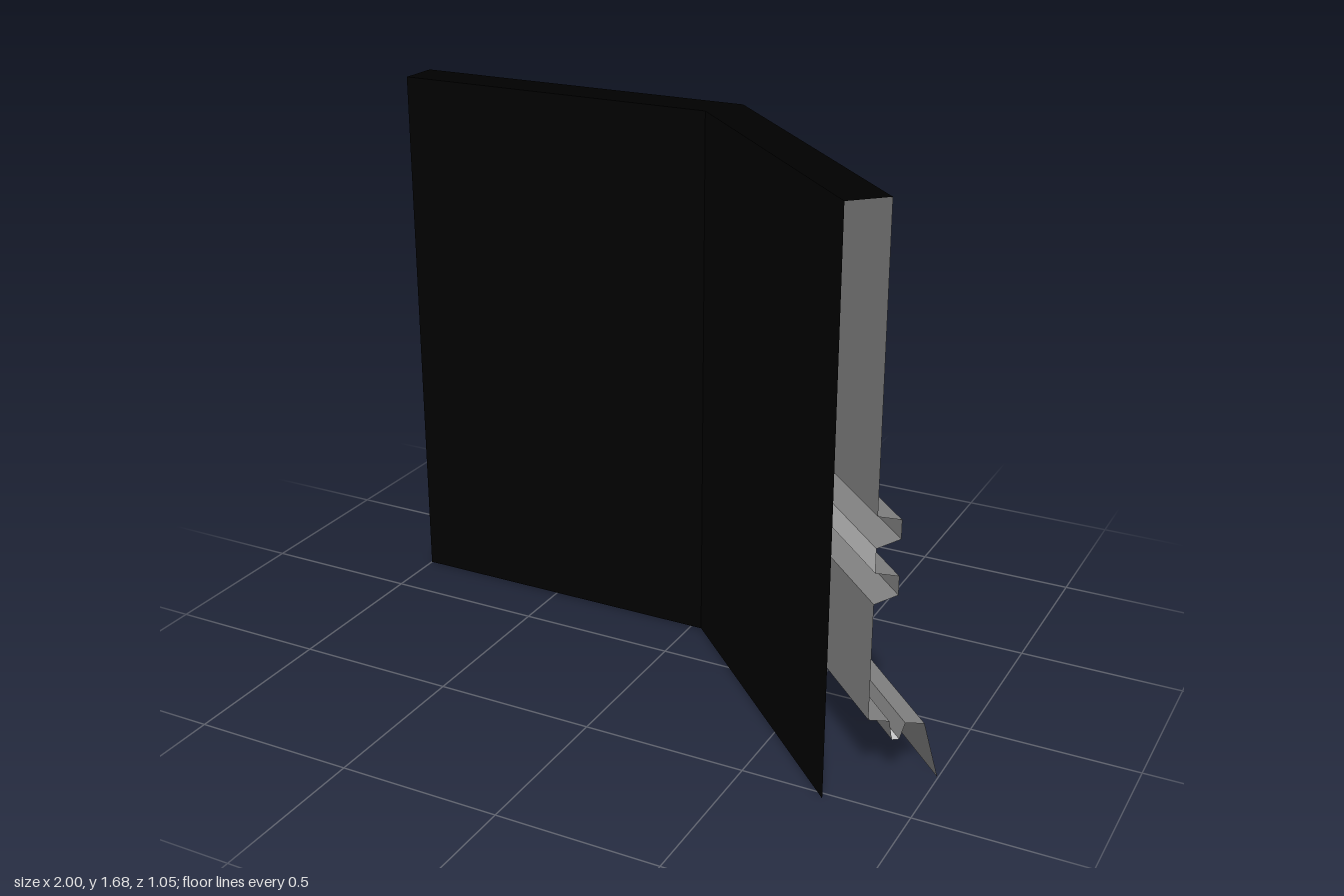
import * as THREE from 'three';

// Plan of the bent wall: a point on the front face and the offset per unit of depth
const STATIONS = [
  { x: -1, z: -0.185, dx: 0, dz: -1 },
  { x: 0.035, z: -0.185, dx: 0.48, dz: -1 },
  { x: 0.753, z: 0.525, dx: 0.7075, dz: -0.7075 },
];

// Sweeps an open profile of [depth, height] points along the plan, with mitred bend
function sweep(name, profile, color) {
  const at = ([d, y], s) => [s.x + s.dx * d, y, s.z + s.dz * d];
  const pos = [];
  for (let i = 0; i < profile.length - 1; i++) {
    for (let j = 0; j < STATIONS.length - 1; j++) {
      const a = at(profile[i], STATIONS[j]);
      const b = at(profile[i], STATIONS[j + 1]);
      const c = at(profile[i + 1], STATIONS[j + 1]);
      const d = at(profile[i + 1], STATIONS[j]);
      pos.push(...a, ...b, ...c, ...a, ...c, ...d);
    }
  }
  const geometry = new THREE.BufferGeometry();
  geometry.setAttribute('position', new THREE.Float32BufferAttribute(pos, 3));
  geometry.computeVertexNormals();
  const material = new THREE.MeshStandardMaterial({ color, flatShading: true, side: THREE.DoubleSide });
  const mesh = new THREE.Mesh(geometry, material);
  mesh.name = name;
  return mesh;
}

export function createModel() {
  const group = new THREE.Group();
  group.name = 'wallSection';
  const BLACK = 0x000000, GREY = 0x808080, LIGHT = 0xe6e6e6;
  const T = 0.127, H = 1.685; // wall thickness and height

  // Dark front panel and top edge; ends and underside stay open
  group.add(sweep('frontPanelAndTop', [[0, 0], [0, H], [T, H]], BLACK));

  // Moulded side: plain panels, two rails around a light band, skirting
  group.add(sweep('upperPanel', [[T, H], [T, 0.832]], GREY));
  const rail = (name, top) => sweep(name,
    [[T, top], [0.197, top - 0.019], [0.197, top - 0.075], [T, top - 0.092]], GREY);
  group.add(rail('upperRail', 0.832));
  group.add(sweep('lightBand', [[T, 0.74], [T, 0.668]], LIGHT));
  group.add(rail('lowerRail', 0.668));
  group.add(sweep('lowerPanel', [[T, 0.576], [T, 0.224]], GREY));
  group.add(sweep('skirtingLedge', [[T, 0.224], [0.19, 0.208], [0.2, 0.148]], GREY));
  group.add(sweep('skirtingGroove', [[0.2, 0.148], [0.222, 0.146]], LIGHT));
  group.add(sweep('skirtingBoard', [[0.222, 0.146], [0.238, 0.194], [0.296, 0.182], [0.345, 0]], GREY));
  return group;
}
